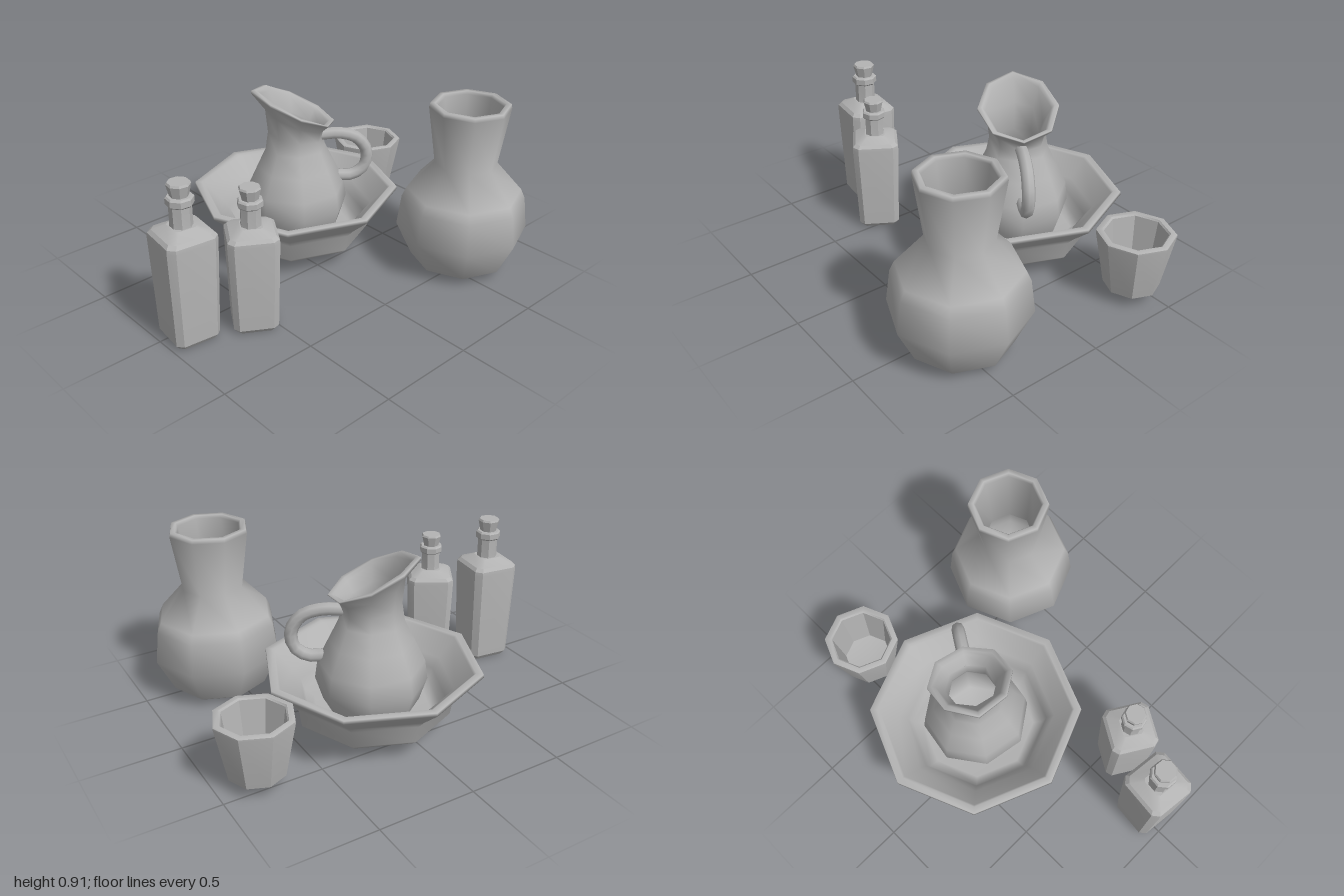
import * as THREE from 'three';
import { mergeVertices, toCreasedNormals } from 'three/addons/utils/BufferGeometryUtils.js';

const clay = new THREE.MeshStandardMaterial({ color: 0xb3b3b3 });
clay.name = 'grey clay';

// Eight-sided turned form from [radius, y] pairs; rule(v) may move each vertex.
function turned(profile, { crease = 0, phi = 0, rule } = {}) {
  let geo = new THREE.LatheGeometry(profile.map(([r, y]) => new THREE.Vector2(r, y)), 8, phi);
  const pos = geo.attributes.position;
  const v = new THREE.Vector3();
  if (rule) {
    for (let i = 0; i < pos.count; i++) {
      rule(v.fromBufferAttribute(pos, i));
      pos.setXYZ(i, v.x, v.y, v.z);
    }
  }
  geo.deleteAttribute('uv');
  geo.deleteAttribute('normal');
  geo = mergeVertices(geo);
  geo.computeVertexNormals();
  return crease ? toCreasedNormals(geo, crease) : geo;
}

function part(name, geo, parent, x = 0, y = 0, z = 0) {
  const mesh = new THREE.Mesh(geo, clay);
  mesh.name = name;
  mesh.position.set(x, y, z);
  parent.add(mesh);
  return mesh;
}

// Square bottle with bevelled corners, neck, collar and cork
function makeBottle(name, x, z, turn, sx, sy) {
  const g = new THREE.Group();
  g.name = name;
  const square = (v) => {
    const r = Math.hypot(v.x, v.z);
    if (r < 1e-6) return;
    const snap = (c) => Math.sign(c) * (Math.abs(c) > r * 0.6 ? r : r * 0.76);
    v.x = snap(v.x);
    v.z = snap(v.z);
  };
  const flat = { crease: 0.35, phi: Math.PI / 8 };
  part('bottleBody', turned([[0, 0], [0.098, 0], [0.115, 0.025], [0.129, 0.53],
    [0.127, 0.55], [0.112, 0.567], [0.055, 0.595], [0, 0.595]], { ...flat, rule: square }), g);
  part('bottleNeck', turned([[0.056, 0.58], [0.053, 0.61], [0.053, 0.71]], flat), g);
  part('bottleCollar', turned([[0, 0.698], [0.058, 0.698], [0.066, 0.706], [0.066, 0.735],
    [0.058, 0.743], [0, 0.743]], flat), g);
  part('cork', turned([[0, 0.735], [0.042, 0.735], [0.057, 0.8], [0.051, 0.81], [0, 0.81]], flat), g);
  g.position.set(x, 0, z);
  g.rotation.y = turn;
  g.scale.set(sx, sy, sx);
  return g;
}

// Pitcher with a slanted, flared rim; its handle points along local +z
function makePitcher() {
  const g = new THREE.Group();
  g.name = 'pitcher';
  const neckY = 0.6, rimY = 0.81, slant = 0.097;
  const rule = (v) => {
    const r = Math.hypot(v.x, v.z);
    if (v.y <= neckY || r < 1e-6) return;
    const c = v.z / r;
    v.y -= slant * c * (v.y - neckY) / (rimY - neckY);
    // pull the pouring lip slightly outwards
    if (c < -0.9 && v.y > 0.85) v.z -= 0.02;
  };
  part('pitcherBody', turned([[0, 0.12], [0.21, 0.12], [0.24, 0.14], [0.278, 0.26], [0.264, 0.36],
    [0.21, 0.475], [0.16, 0.58], [0.146, 0.65], [0.158, 0.735], [0.208, 0.8], [0.207, 0.81],
    [0.185, 0.812], [0.168, 0.795], [0.128, 0.72], [0.118, 0.62], [0.15, 0.52], [0.23, 0.3],
    [0.19, 0.17], [0, 0.17]], { rule }), g);
  const path = new THREE.CatmullRomCurve3([[0.12, 0.635], [0.24, 0.635], [0.335, 0.6], [0.388, 0.52],
    [0.375, 0.43], [0.31, 0.385], [0.21, 0.39]].map(([s, y]) => new THREE.Vector3(0, y, s)));
  part('pitcherHandle', new THREE.TubeGeometry(path, 14, 0.033, 8), g);
  g.position.set(0.094, 0, -0.278);
  g.rotation.y = 1.01;
  return g;
}

export function createModel() {
  const model = new THREE.Group();
  model.name = 'stillLife';

  // Round-bellied vase
  part('vase', turned([[0, 0.026], [0.225, 0.026], [0.255, 0.045], [0.34, 0.225], [0.318, 0.39],
    [0.295, 0.44], [0.16, 0.59], [0.205, 0.89], [0.2, 0.91], [0.175, 0.91], [0.164, 0.895],
    [0.128, 0.59], [0.26, 0.43], [0.3, 0.225], [0.22, 0.07], [0, 0.07]]), model, 0.591, 0, 0.475);

  // Wide basin
  part('basin', turned([[0, 0.073], [0.335, 0.073], [0.365, 0.082], [0.395, 0.108], [0.41, 0.2],
    [0.45, 0.245], [0.55, 0.335], [0.548, 0.352], [0.512, 0.352], [0.5, 0.343], [0.41, 0.25],
    [0.37, 0.2], [0.35, 0.14], [0.3, 0.115], [0, 0.115]]), model, 0.09, 0, -0.278);

  // Faceted cup
  part('cup', turned([[0, 0.052], [0.115, 0.052], [0.14, 0.066], [0.194, 0.352], [0.194, 0.362],
    [0.186, 0.366], [0.164, 0.366], [0.156, 0.358], [0.125, 0.12], [0, 0.1]], { crease: 0.6 }),
  model, 0.802, 0, -0.436);

  model.add(makePitcher());
  model.add(makeBottle('tallBottle', -0.857, 0.04, -0.12, 1, 1));
  model.add(makeBottle('shortBottle', -0.567, 0.168, -0.55, 0.94, 0.907));
  return model;
}
